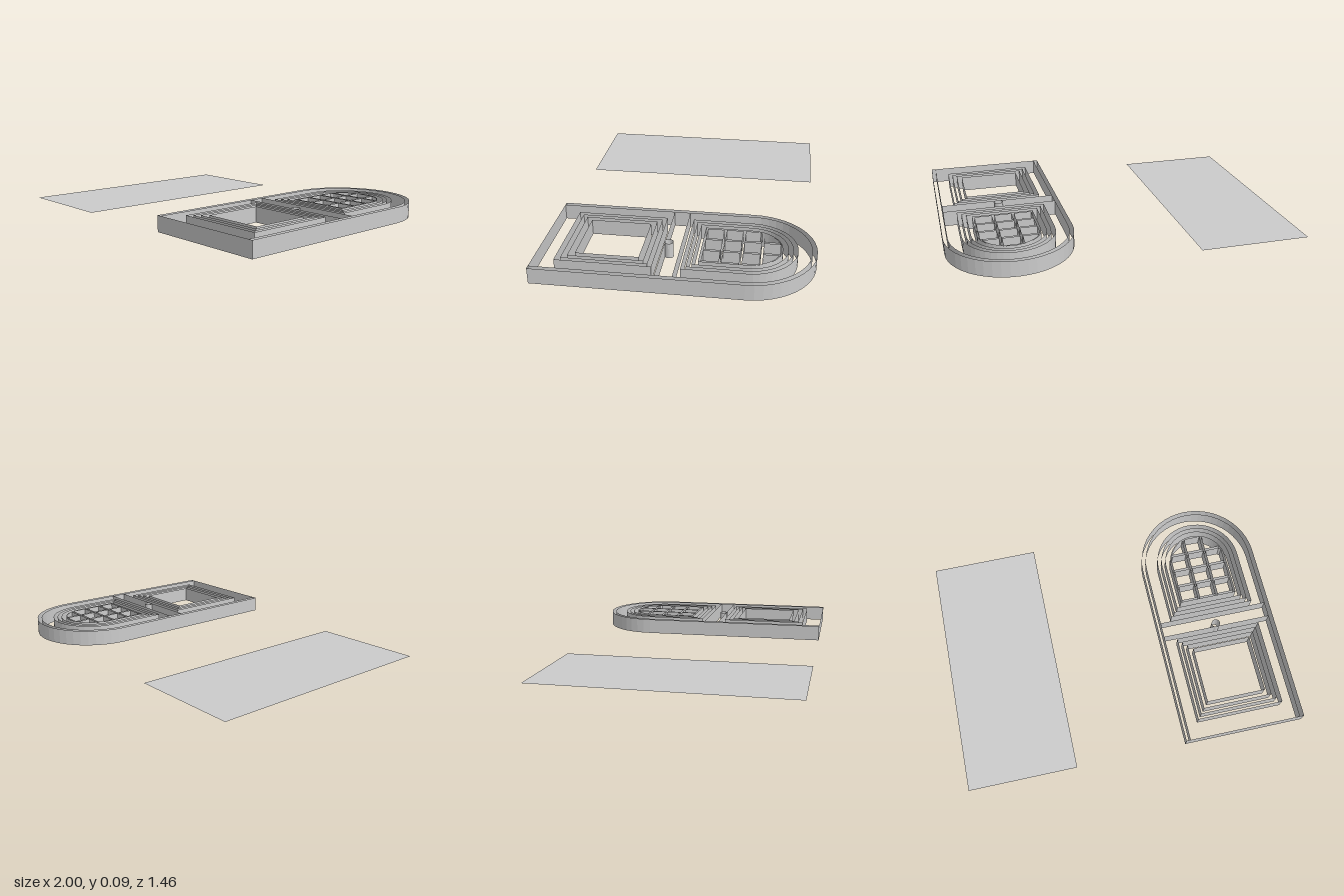
import * as THREE from 'three';

const H = 0.09;          // wall height
const CX = 0.645;        // middle of the frame in x
const SPRING = -0.375;   // z where the arch begins
const HALF = 0.355;      // outer half width
const FRONT = 0.73;

const material = new THREE.MeshStandardMaterial({
  color: 0xcccccc, side: THREE.DoubleSide, flatShading: true,
});

// Upright ribbon without caps along [x, z] points, x measured from the frame's middle
function wall(name, points, closed = true, height = H) {
  const pos = [];
  const count = closed ? points.length : points.length - 1;
  for (let i = 0; i < count; i++) {
    const [ax, az] = points[i];
    const [bx, bz] = points[(i + 1) % points.length];
    pos.push(ax, 0, az, bx, 0, bz, bx, height, bz);
    pos.push(ax, 0, az, bx, height, bz, ax, height, az);
  }
  const geometry = new THREE.BufferGeometry();
  geometry.setAttribute('position', new THREE.Float32BufferAttribute(pos, 3));
  geometry.computeVertexNormals();
  const mesh = new THREE.Mesh(geometry, material);
  mesh.name = name;
  return mesh;
}

// Straight sides from zFront, closed by a half circle at the back
function archOutline(half, zFront, segments = 24) {
  const points = [[-half, zFront], [half, zFront]];
  for (let i = 0; i <= segments; i++) {
    const a = (Math.PI * i) / segments;
    points.push([half * Math.cos(a), SPRING - half * Math.sin(a)]);
  }
  return points;
}

function rectangle(half, zFront, zBack) {
  return [[-half, zFront], [half, zFront], [half, zBack], [-half, zBack]];
}

// Outline of one pane, its back edge cut by the arch
function paneOutline(x0, x1, zFront, zBack, radius) {
  const reach = zFront < SPRING
    ? Math.sqrt(Math.max(0, radius ** 2 - (SPRING - zFront) ** 2)) : radius;
  x0 = Math.max(x0, -reach);
  x1 = Math.min(x1, reach);
  const points = [[x0, zFront], [x1, zFront]];
  for (let i = 0; i <= 8; i++) {
    const x = x1 + ((x0 - x1) * i) / 8;
    const arch = SPRING - Math.sqrt(Math.max(0, radius ** 2 - x ** 2));
    points.push([x, Math.min(zFront, Math.max(zBack, arch))]);
  }
  return points;
}

export function createModel() {
  const model = new THREE.Group();
  model.name = 'archedDoorAndPanel';

  const door = new THREE.Group();
  door.name = 'archedDoor';
  door.position.x = CX;
  model.add(door);

  // Outer casing and its inner edge
  door.add(wall('outerCasing', archOutline(HALF, FRONT)));
  const inner = archOutline(HALF - 0.025, FRONT);
  door.add(wall('innerCasing', [...inner.slice(1), inner[0]], false));

  // Stepped moulding round the square opening and round the arched window
  [0, 0.025, 0.05, 0.08].forEach((step, i) => {
    const half = 0.255 - step;
    door.add(wall(`lowerMoulding${i + 1}`, rectangle(half, 0.62 - step * 1.15, 0.11 + step)));
    door.add(wall(`upperMoulding${i + 1}`, archOutline(half, -0.04 - step)));
  });

  // Cross rail with its round lock
  door.add(wall('crossRail', rectangle(HALF - 0.025, 0.08, -0.01)));
  const lock = [];
  for (let i = 0; i < 16; i++) {
    const a = (Math.PI * 2 * i) / 16;
    lock.push([0.025 * Math.cos(a), 0.06 + 0.025 * Math.sin(a)]);
  }
  door.add(wall('lock', lock));

  // Window panes: three columns, four rows, with thin bars between them
  const panes = new THREE.Group();
  panes.name = 'windowPanes';
  const radius = 0.17, near = -0.125, bar = 0.007;
  const colStep = (radius * 2) / 3;
  const rowStep = (near - (SPRING - radius)) / 4;
  for (let row = 0; row < 4; row++) {
    for (let col = 0; col < 3; col++) {
      const x = -radius + col * colStep;
      const z = near - row * rowStep;
      panes.add(wall(`pane${row + 1}${col + 1}`,
        paneOutline(x + bar, x + colStep - bar, z - bar, z - rowStep + bar, radius)));
    }
  }
  door.add(panes);

  // Flat sheet beside the door
  const sheet = new THREE.Mesh(new THREE.PlaneGeometry(0.64, 1.43), material);
  sheet.name = 'flatSheet';
  sheet.rotation.x = -Math.PI / 2;
  sheet.position.set(-0.68, 0, 0.015);
  model.add(sheet);

  return model;
}
